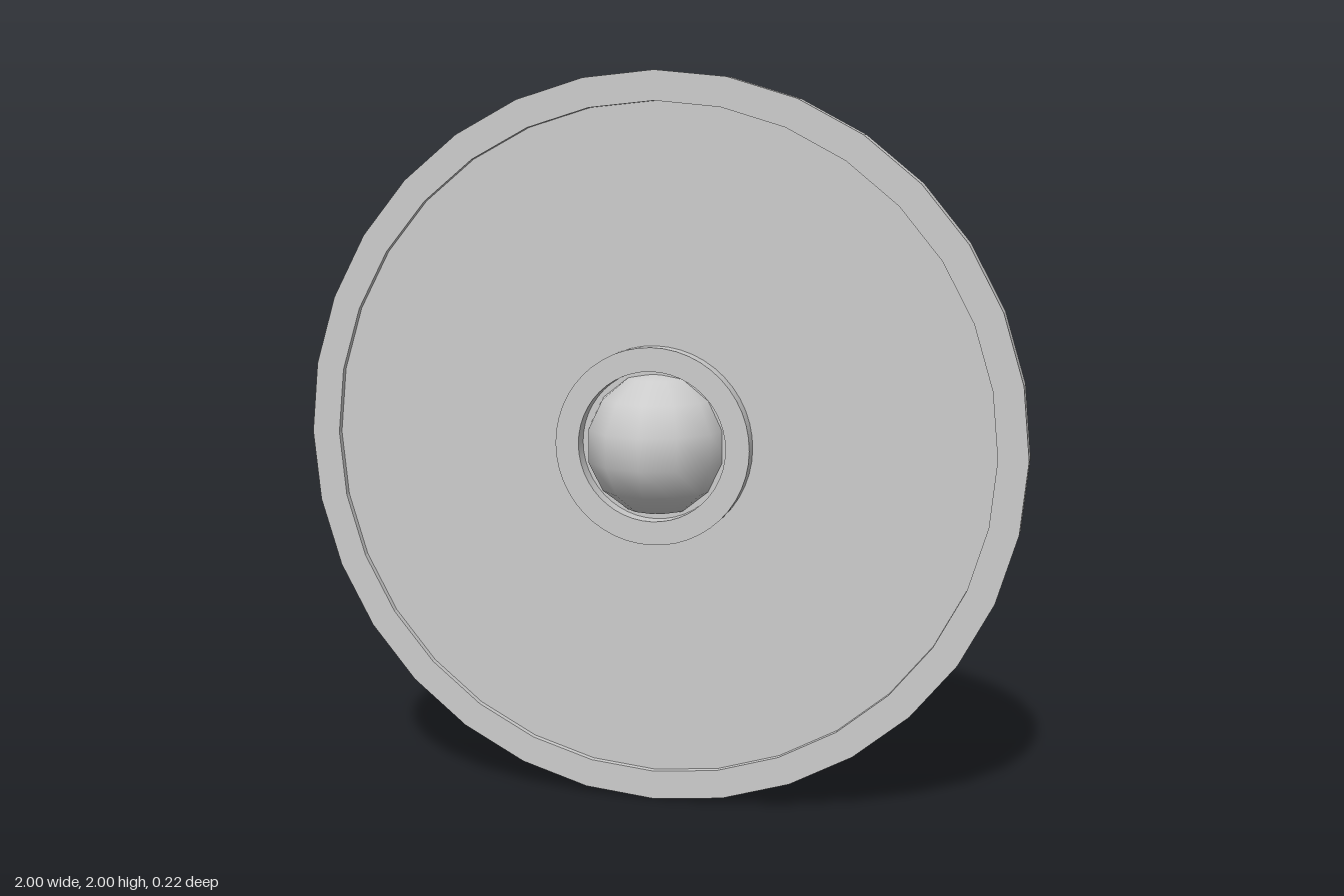
import * as THREE from 'three';
import { toCreasedNormals } from 'three/addons/utils/BufferGeometryUtils.js';

const gray = new THREE.MeshStandardMaterial({ color: 0xcccccc });
gray.name = 'plain gray';

// Turned part whose axis points forward; points are [radius, z]
function turned(name, points, sides, crease) {
  const profile = points.map(([r, z]) => new THREE.Vector2(r, z));
  const geometry = new THREE.LatheGeometry(profile, sides).rotateX(Math.PI / 2);
  const mesh = new THREE.Mesh(toCreasedNormals(geometry, crease), gray);
  mesh.name = name;
  return mesh;
}

export function createModel() {
  const shield = new THREE.Group();
  shield.name = 'roundShield';

  // Flat back, faceted edge, raised rim and shallow recessed face
  const back = -0.11, face = -0.07, rim = -0.052;
  shield.add(turned('shieldDisc', [
    [0, back], [1, back], [1, rim], [0.92, rim], [0.92, face], [0, face],
  ], 32, 0.1));

  // Flat collar around the boss
  shield.add(turned('bossRing', [
    [0.27, face], [0.27, -0.025], [0.205, -0.025], [0.205, face],
  ], 48, 0.6));

  // Domed boss: the front half of a coarse sphere with upright poles
  const dome = new THREE.SphereGeometry(0.2, 6, 7, 0, Math.PI);
  dome.scale(1, 1, 1.13);
  const boss = new THREE.Mesh(dome, gray);
  boss.name = 'boss';
  boss.position.z = back;
  shield.add(boss);

  // Stand the shield on the ground
  shield.children.forEach((part) => { part.position.y = 1; });
  return shield;
}
